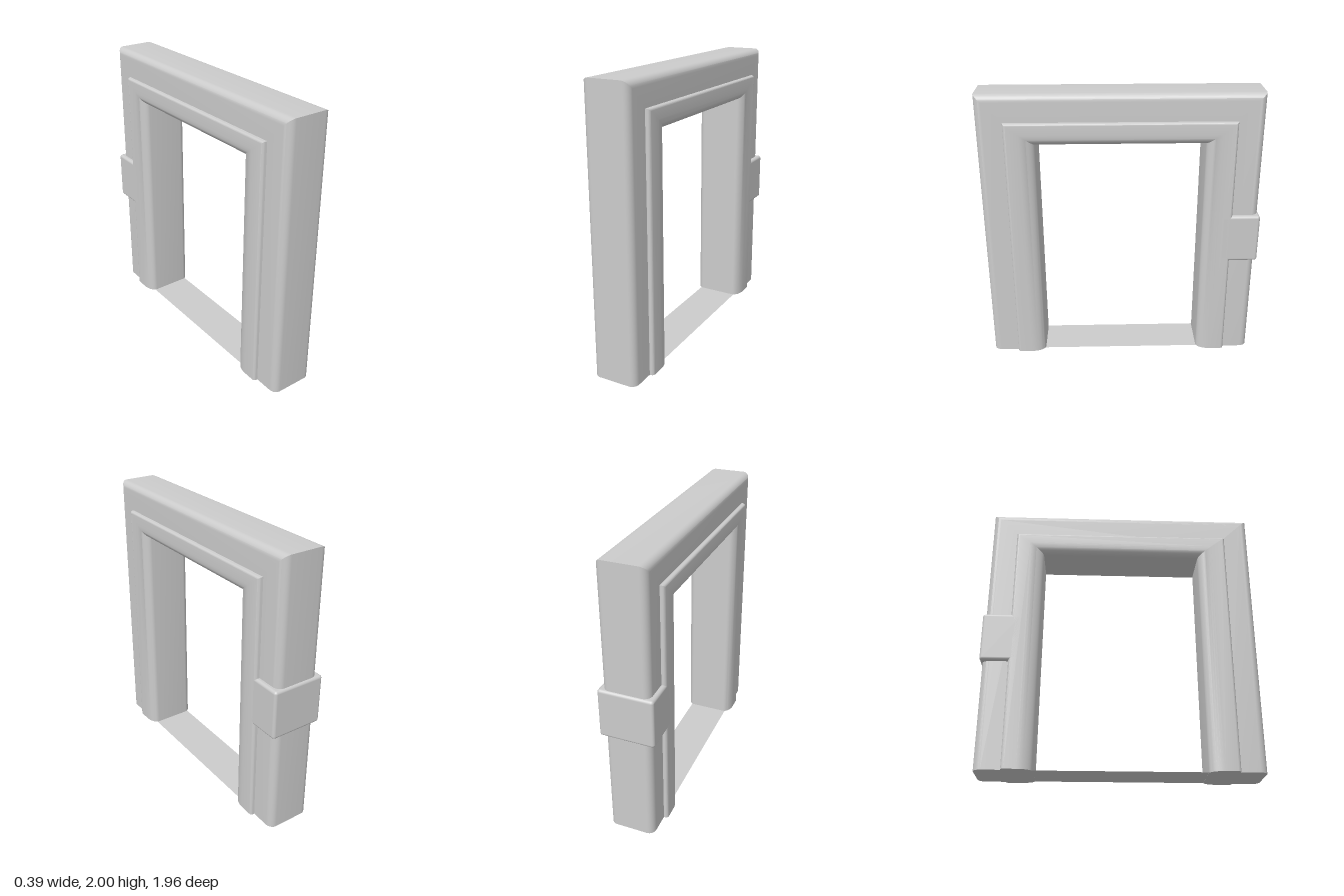
import * as THREE from 'three';
import { toCreasedNormals } from 'three/addons/utils/BufferGeometryUtils.js';
import { RoundedBoxGeometry } from 'three/addons/geometries/RoundedBoxGeometry.js';

const material = new THREE.MeshStandardMaterial({ color: 0xcccccc });

// Quarter-ellipse points [x, t] around a centre, from angle a0 to a1
function arc(cx, ct, rx, rt, a0, a1, n = 8) {
  return Array.from({ length: n + 1 }, (_, i) => {
    const a = a0 + ((a1 - a0) * i) / n;
    return [cx + rx * Math.cos(a), ct + rt * Math.sin(a)];
  });
}

// Sweeps a mirrored half profile [x, t] up, over and down with mitred corners;
// t runs from 0 at the outer rim to 1 at the inner rim.
function archGeometry(half, outer, inner) {
  const mirrored = half.map(([x, t]) => [-x, t]).reverse();
  const profile = [...half, ...mirrored];
  const n = profile.length;
  const mix = THREE.MathUtils.lerp;
  const positions = [];
  const index = [];
  for (let s = 0; s < 4; s++) {
    const side = s < 2 ? 'front' : 'back';
    const atTop = s === 1 || s === 2;
    for (const [x, t] of profile) {
      positions.push(x, atTop ? mix(outer.top, inner.top, t) : 0, mix(outer[side], inner[side], t));
    }
  }
  for (let s = 0; s < 3; s++) {
    for (let i = 0; i < n; i++) {
      const j = (i + 1) % n;
      const a = s * n + i, b = s * n + j;
      index.push(a, b, b + n, a, b + n, a + n);
    }
  }
  // Feet
  for (let i = 1; i < n - 1; i++) {
    index.push(0, i + 1, i, 3 * n, 3 * n + i, 3 * n + i + 1);
  }
  const geometry = new THREE.BufferGeometry();
  geometry.setAttribute('position', new THREE.Float32BufferAttribute(positions, 3));
  geometry.setIndex(index);
  return toCreasedNormals(geometry, 0.5);
}

export function createModel() {
  const group = new THREE.Group();
  const add = (name, geometry, mat = material) => {
    const mesh = new THREE.Mesh(geometry, mat);
    mesh.name = name;
    group.add(mesh);
    return mesh;
  };
  const q = Math.PI / 2;

  // Outer frame with rounded outside edges
  add('outerFrame', archGeometry(
    [...arc(0.113, 0.2, 0.05, 0.2, -q, 0), [0.163, 1]],
    { front: 0.982, top: 2, back: -0.965 },
    { front: 0.72, top: 1.75, back: -0.7 }
  ));

  // Wider inner casing, softly rounded towards the opening
  add('innerCasing', archGeometry(
    [...arc(0.173, 0.1, 0.02, 0.1, -q, 0, 6), ...arc(0.133, 0.5, 0.06, 0.5, 0, q, 10)],
    { front: 0.797, top: 1.813, back: -0.78 },
    { front: 0.59, top: 1.655, back: -0.573 }
  ));

  // Lock block wrapping the back post
  add('lockBlock', new RoundedBoxGeometry(0.386, 0.354, 0.28, 4, 0.02))
    .position.set(0, 0.945, -0.84);

  // Thin threshold between the posts
  const threshold = add('threshold', new THREE.PlaneGeometry(0.3, 1.2),
    new THREE.MeshStandardMaterial({ color: 0xcccccc, side: THREE.DoubleSide }));
  threshold.rotation.x = -q;
  threshold.position.set(0, 0.001, 0.008);

  return group;
}
